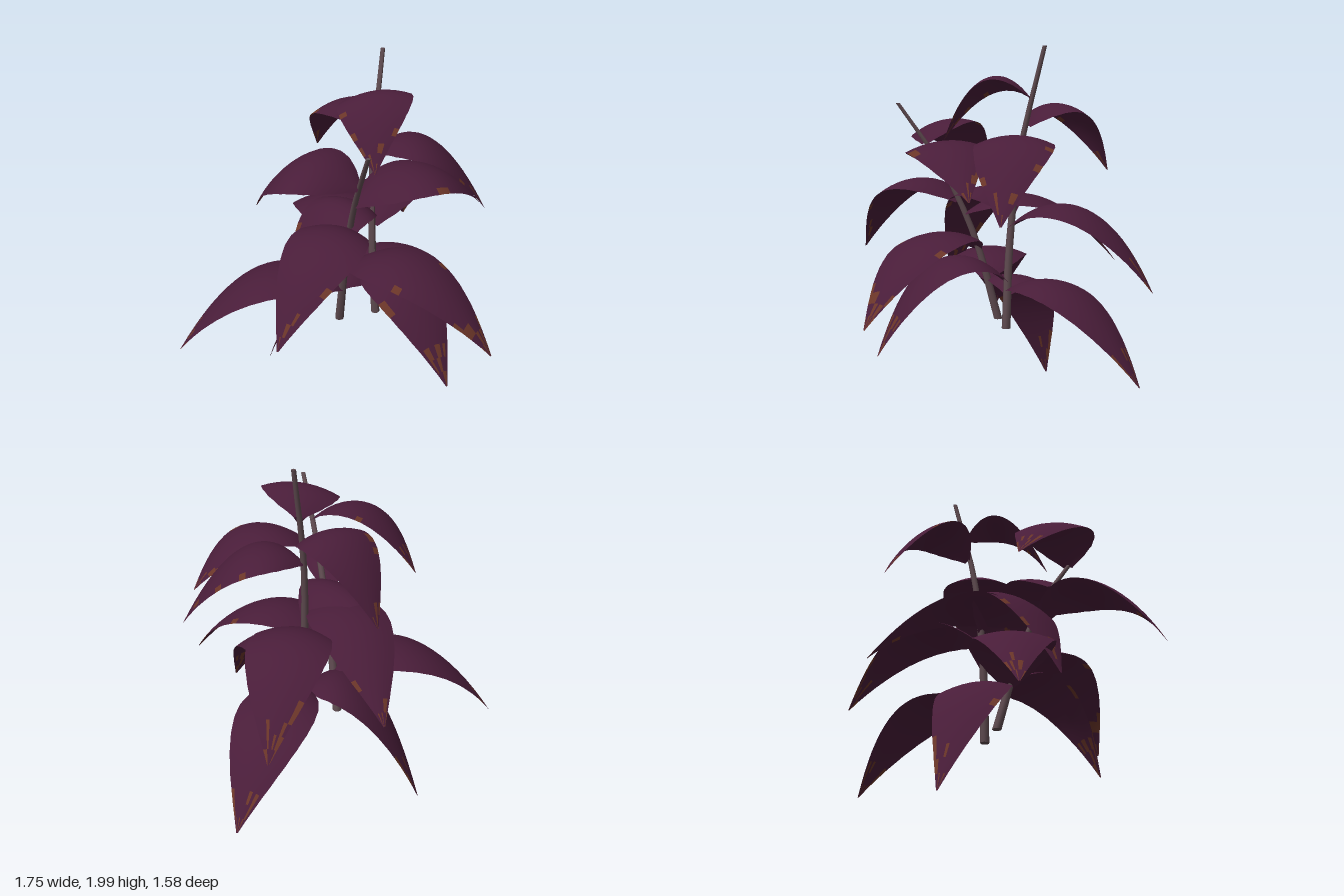
import * as THREE from 'three';

const leafMat = new THREE.MeshStandardMaterial({ color: 0x491d39, side: THREE.DoubleSide });
leafMat.name = 'plumLeaf';
const dryMat = new THREE.MeshStandardMaterial({ color: 0x6a3528, side: THREE.DoubleSide });
dryMat.name = 'dryBrown';
const stemMat = new THREE.MeshStandardMaterial({ color: 0x5e4a4f });
stemMat.name = 'stemGrey';

// Small seeded generator for the dry patches
let seed = 7;
const rand = () => (seed = (seed * 16807) % 2147483647) / 2147483647;

// Half width of a blade at equal steps from base to tip
const OUTLINE = [0.025, 0.11, 0.17, 0.203, 0.215, 0.21, 0.19, 0.158, 0.115, 0.062, 0.004];
const ACROSS = 10, ROWS = 20;

function halfWidth(s) {
  const f = s * (OUTLINE.length - 1), i = Math.min(Math.floor(f), OUTLINE.length - 2);
  return THREE.MathUtils.lerp(OUTLINE[i], OUTLINE[i + 1], f - i);
}

// Arching blade: leaves the stem at base, rises to peak height, droops to tip.
// bend swings the middle sideways, roll lifts one edge, wide scales the width.
function leafGeometry(base, tip, peak, { bend = 0, roll = 0, wide = 1 } = {}) {
  const [bx, by, bz] = base, [tx, ty, tz] = tip;
  const length = Math.hypot(tx - bx, tz - bz);
  const side = [-(tz - bz) / length, (tx - bx) / length];
  const rise = Math.sqrt(peak - by), fall = Math.sqrt(peak - ty);
  const crest = rise / (rise + fall);
  const pos = [], leafIdx = [], dryIdx = [];
  for (let i = 0; i <= ROWS; i++) {
    const s = i / ROWS, w = halfWidth(s) * wide;
    const y = peak - ((s - crest) * (rise + fall)) ** 2;
    for (let j = 0; j <= ACROSS; j++) {
      const u = (j / ACROSS) * 2 - 1;
      const off = u * w + bend * Math.sin(Math.PI * s);
      pos.push(bx + (tx - bx) * s + side[0] * off,
        y - 0.23 * w * u * u + roll * u * w,
        bz + (tz - bz) * s + side[1] * off);
    }
  }
  // Dry patches sit on the outer half of the rim and close to the tip
  const row = ACROSS + 1;
  for (let i = 0; i < ROWS; i++) {
    for (let j = 0; j < ACROSS; j++) {
      const a = i * row + j, b = a + 1, c = a + row, d = c + 1;
      const rim = j === 0 || j === ACROSS - 1;
      const chance = i >= ROWS - 3 ? 0.25 : rim && i > ROWS * 0.4 ? 0.1 : 0;
      (rand() < chance ? dryIdx : leafIdx).push(a, b, c, b, d, c);
    }
  }
  const geo = new THREE.BufferGeometry();
  geo.setAttribute('position', new THREE.Float32BufferAttribute(pos, 3));
  geo.setIndex([...leafIdx, ...dryIdx]);
  geo.addGroup(0, leafIdx.length, 0);
  geo.addGroup(leafIdx.length, dryIdx.length, 1);
  geo.computeVertexNormals();
  return geo;
}

// Tapered stem bent along a curve
function stemGeometry(points) {
  const curve = new THREE.CatmullRomCurve3(points.map(p => new THREE.Vector3(...p)));
  const geo = new THREE.CylinderGeometry(0.012, 0.025, 1, 8, 10);
  const p = geo.attributes.position;
  for (let i = 0; i < p.count; i++) {
    const c = curve.getPointAt(THREE.MathUtils.clamp(p.getY(i) + 0.5, 0, 1));
    p.setXYZ(i, p.getX(i) + c.x, c.y, p.getZ(i) + c.z);
  }
  geo.computeVertexNormals();
  return geo;
}

// Each leaf: base, tip, peak height, shape
const TALL = {
  stem: [[0.13, 0.46, -0.09], [0.125, 0.95, -0.115], [0.165, 1.45, -0.155], [0.29, 2, -0.22]],
  leaves: [
    [[0.13, 0.68, -0.1], [0.875, 0.27, -0.42], 0.76],
    [[0.13, 0.72, -0.1], [0.01, 0.38, 0.64], 0.88, { bend: 0.03 }],
    [[0.13, 0.66, -0.1], [-0.27, 0.01, -0.65], 0.73, { bend: -0.04, wide: 0.93 }],
    [[0.13, 1.03, -0.11], [0.785, 0.73, -0.57], 1.17],
    [[0.13, 1.1, -0.12], [-0.51, 0.65, -0.1], 1.24],
    [[0.17, 1.46, -0.155], [0.635, 1.12, 0.27], 1.54],
    [[0.2, 1.58, -0.18], [0.21, 1.32, -0.72], 1.7, { bend: -0.03, wide: 0.92 }],
    [[0.22, 1.73, -0.18], [-0.1, 1.5, 0.17], 1.84, { bend: 0.01, roll: -0.15, wide: 0.93 }],
  ],
};
const SHORT = {
  stem: [[-0.08, 0.46, -0.17], [-0.13, 0.95, -0.04], [-0.2, 1.33, 0.12], [-0.3, 1.7, 0.35]],
  leaves: [
    [[-0.1, 0.7, -0.11], [-0.875, 0.34, -0.66], 0.83],
    [[-0.12, 0.88, -0.06], [0.18, 0.58, 0.79], 1.01, { roll: -0.06 }],
    [[-0.15, 1.08, 0.01], [0.21, 0.79, -0.79], 1.19],
    [[-0.17, 1.15, 0.04], [-0.85, 0.82, 0.31], 1.27, { bend: -0.04 }],
    [[-0.2, 1.34, 0.12], [0.49, 1.23, 0.36], 1.51, { bend: 0.04, roll: -0.06 }],
    [[-0.24, 1.48, 0.21], [-0.49, 1.26, -0.35], 1.6, { bend: -0.05, roll: 0.2 }],
  ],
};

function buildShoot(name, { stem, leaves }) {
  const shoot = new THREE.Group();
  shoot.name = name;
  const stalk = new THREE.Mesh(stemGeometry(stem), stemMat);
  stalk.name = 'stem';
  shoot.add(stalk);
  leaves.forEach((leaf, i) => {
    const mesh = new THREE.Mesh(leafGeometry(...leaf), [leafMat, dryMat]);
    mesh.name = `leaf${i + 1}`;
    shoot.add(mesh);
  });
  return shoot;
}

export function createModel() {
  const plant = new THREE.Group();
  plant.name = 'plant';
  plant.add(buildShoot('tallShoot', TALL), buildShoot('shortShoot', SHORT));
  return plant;
}
